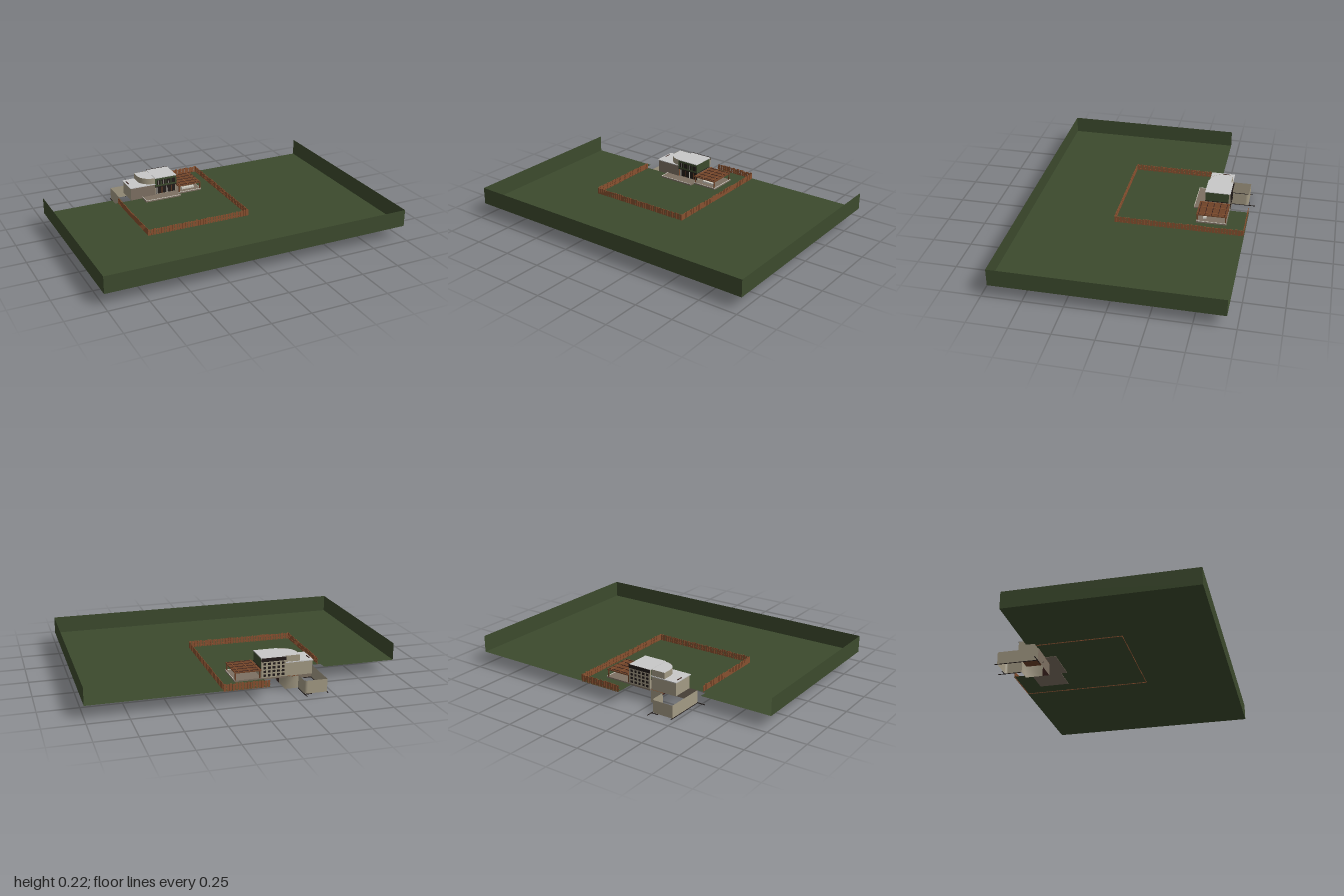
import * as THREE from 'three';

const mat = (name, color, side = THREE.DoubleSide) =>
  Object.assign(new THREE.MeshStandardMaterial({ color, side }), { name });

export function createModel() {
  const root = new THREE.Group();
  const green = mat('grass green', 0x3c4a2d);
  const roofGrey = mat('roof grey', 0xc8c8c8);
  const beige = mat('render beige', 0xa39a84);
  const stone = mat('stone taupe', 0x7d7062);
  const brown = mat('timber brown', 0x6f4328);
  const fenceWood = mat('fence wood', 0x87502f);
  const dark = mat('dark frame', 0x211a18);
  const maroon = mat('dark door', 0x351d1a);
  const pale = mat('pale trim', 0xd0ccc2);

  const add = (name, geometry, material, parent = root) => {
    const mesh = new THREE.Mesh(geometry, material);
    mesh.name = name;
    parent.add(mesh);
    return mesh;
  };
  // Box given by its extents along each axis
  const box = (name, m, x0, x1, y0, y1, z0, z1, parent = root) => {
    const b = add(name, new THREE.BoxGeometry(x1 - x0, y1 - y0, z1 - z0), m, parent);
    b.position.set((x0 + x1) / 2, (y0 + y1) / 2, (z0 + z1) / 2);
    return b;
  };
  const group = (name) => {
    const g = new THREE.Group();
    g.name = name;
    root.add(g);
    return g;
  };
  // Thin upright wall along a plan path of [x, z] points
  const wall = (name, m, pts, y0, y1, parent = root) => {
    const pos = [], index = [];
    pts.forEach(([x, z], i) => {
      pos.push(x, y0, z, x, y1, z);
      if (i) index.push(2 * i - 2, 2 * i, 2 * i - 1, 2 * i, 2 * i + 1, 2 * i - 1);
    });
    const g = new THREE.BufferGeometry();
    g.setAttribute('position', new THREE.Float32BufferAttribute(pos, 3));
    g.setIndex(index);
    g.computeVertexNormals();
    return add(name, g, m, parent);
  };
  const arc = (cx, cz, rx, rz, a0, a1, n = 12) =>
    Array.from({ length: n + 1 }, (_, i) => {
      const a = a0 + ((a1 - a0) * i) / n;
      return [cx + rx * Math.cos(a), cz + rz * Math.sin(a)];
    });

  // Lawn with the notch at the back
  const G = 0.085;
  const plan = [[-1, 0.705], [1, 0.705], [1, -0.69], [-0.1, -0.69], [-0.1, -0.405],
    [-0.53, -0.405], [-0.53, -0.46], [-1, -0.46]];
  const lawn = new THREE.ShapeGeometry(new THREE.Shape(plan.map(([x, z]) => new THREE.Vector2(x, -z))));
  lawn.rotateX(-Math.PI / 2);
  add('lawn', lawn, green).position.y = G;

  // Hedge on three sides
  wall('leftHedge', green, [[1, -0.69], [1, 0.705]], G, 0.195);
  wall('frontHedge', green, [[-1, 0.705], [1, 0.705]], G, 0.195);
  wall('rightHedge', green, [[-1, -0.46], [-1, 0.705]], G, 0.195);

  // Picket fence around the garden
  const fence = group('fence');
  let seed = 7;
  const rand = () => (seed = (seed * 16807) % 2147483647) / 2147483647;
  const run = (x0, z0, x1, z1) => {
    const len = Math.hypot(x1 - x0, z1 - z0), n = Math.round(len / 0.018);
    const side = new THREE.Group();
    side.name = 'fenceRun';
    side.position.set(x0, 0.08, z0);
    side.rotation.y = -Math.atan2(z1 - z0, x1 - x0);
    fence.add(side);
    for (let i = 0; i < n; i++) {
      const x = (i * len) / n;
      box('picket', fenceWood, x, x + 0.0145, 0, 0.042 + rand() * 0.006, -0.0015, 0.0015, side);
    }
    for (const y of [0.015, 0.034]) box('rail', fenceWood, 0, len, y, y + 0.004, -0.003, -0.001, side);
  };
  run(-0.51, -0.4, -0.51, 0.14);
  run(-0.51, 0.14, 0.185, 0.14);
  run(0.185, 0.14, 0.185, -0.685);
  run(0.185, -0.685, -0.1, -0.685);

  // Terrace
  box('frontTerrace', stone, -0.335, -0.085, 0.082, 0.094, -0.41, -0.33);
  box('sideTerrace', stone, -0.085, 0.085, 0.082, 0.094, -0.565, -0.37);
  box('houseFloor', stone, -0.24, -0.085, 0.082, 0.092, -0.565, -0.405);
  const trim = group('terraceTrim');
  box('edge', pale, -0.335, -0.085, 0.094, 0.097, -0.333, -0.33, trim);
  box('edge', pale, -0.335, -0.332, 0.094, 0.097, -0.405, -0.33, trim);
  box('edge', pale, -0.085, 0.085, 0.094, 0.097, -0.373, -0.37, trim);
  box('edge', pale, 0.082, 0.085, 0.094, 0.097, -0.565, -0.37, trim);

  // Main block: beige ground floor, green upper floor, grey roof
  const house = group('mainHouse');
  box('groundFloor', beige, -0.238, -0.087, 0.092, 0.15, -0.56, -0.415, house);
  box('upperFloor', green, -0.24, -0.085, 0.15, 0.212, -0.555, -0.403, house);
  box('roof', roofGrey, -0.24, -0.085, 0.212, 0.216, -0.565, -0.4, house);
  box('backWall', beige, -0.24, -0.085, 0.092, 0.212, -0.565, -0.555, house);
  box('backParapet', dark, -0.24, -0.085, 0.195, 0.2165, -0.571, -0.565, house);
  box('floorBand', dark, -0.241, -0.084, 0.147, 0.152, -0.556, -0.402, house);
  // Front openings
  box('frontGlazing', dark, -0.232, -0.093, 0.096, 0.145, -0.415, -0.412, house);
  for (let i = 0; i < 4; i++) {
    const x = -0.228 + i * 0.036;
    box('upperWindow', dark, x, x + 0.026, 0.165, 0.197, -0.403, -0.401, house);
    box('windowBar', pale, x + 0.012, x + 0.014, 0.165, 0.197, -0.401, -0.4, house);
    box('lowerFrame', i % 2 ? brown : pale, x, x + 0.006, 0.096, 0.145, -0.412, -0.41, house);
  }
  // Back window grid
  for (let i = 0; i < 5; i++)
    for (let j = 0; j < 4; j++) {
      const x = -0.229 + i * 0.029, y = 0.1 + j * 0.024;
      box('backWindow', dark, x, x + 0.016, y, y + 0.014, -0.567, -0.565, house);
    }

  // Low wing and the curved stair wall rising from it
  const wing = group('sideWing');
  wall('wingWalls', beige, [[-0.24, -0.55], [-0.415, -0.55]], G, 0.17, wing);
  wall('wingSide', beige, [[-0.415, -0.55], [-0.415, -0.405]], G, 0.17, wing);
  wall('wingFront', stone, [[-0.415, -0.405], [-0.24, -0.405]], G, 0.17, wing);
  box('wingRoof', roofGrey, -0.42, -0.24, 0.17, 0.175, -0.555, -0.4, wing);
  box('roofHatch', maroon, -0.408, -0.402, 0.175, 0.178, -0.52, -0.475, wing);
  wall('curvedWall', beige,
    [[-0.335, -0.55], ...arc(-0.24, -0.495, 0.095, 0.09, Math.PI, Math.PI / 2)], 0.175, 0.215, wing);
  wall('stairBackWall', beige, [[-0.335, -0.55], [-0.24, -0.55]], 0.175, 0.215, wing);
  const cap = new THREE.Shape([[-0.335, 0.55],
    ...arc(-0.24, -0.495, 0.095, 0.09, Math.PI, Math.PI / 2).map(([x, z]) => [x, -z]),
    [-0.24, 0.55]].map(([x, y]) => new THREE.Vector2(x, y)));
  add('stairRoof', new THREE.ShapeGeometry(cap).rotateX(-Math.PI / 2), roofGrey, wing).position.y = 0.214;

  // Pergola over the side terrace
  const pergola = group('pergola');
  box('pergolaRoof', brown, -0.085, 0.083, 0.138, 0.144, -0.565, -0.37, pergola);
  for (let i = 0; i < 5; i++) {
    const z = -0.553 + i * 0.042;
    box('crossBatten', maroon, -0.08, 0.078, 0.144, 0.146, z, z + 0.004, pergola);
  }
  for (const x of [-0.075, -0.015, 0.055])
    box('longBeam', fenceWood, x, x + 0.005, 0.144, 0.147, -0.565, -0.37, pergola);
  for (const x of [-0.08, 0.074])
    for (const z of [-0.562, -0.38]) box('post', brown, x, x + 0.007, 0.094, 0.138, z, z + 0.007, pergola);
  box('bench', pale, -0.04, 0.05, 0.094, 0.106, -0.43, -0.41, pergola);

  // Sunken yard: open walls with a rounded corner
  const yard = group('sunkenYard');
  wall('retainingWall', stone, [[-0.47, -0.4], [-0.24, -0.4]], 0.003, G, yard);
  wall('outerWall', beige, [[-0.47, -0.4], [-0.47, -0.665]], 0.003, G, yard);
  wall('endWall', beige, [[-0.47, -0.665], [-0.345, -0.665]], 0.003, G, yard);
  wall('roundedWall', beige, [...arc(-0.345, -0.645, 0.02, 0.02, -Math.PI / 2, 0, 8),
    [-0.325, -0.555]], 0.003, G, yard);
  wall('innerWall', beige, [[-0.325, -0.555], [-0.24, -0.555], [-0.24, -0.445]], 0.003, G, yard);
  wall('yardDoor', maroon, [[-0.24, -0.445], [-0.24, -0.4]], 0.003, G, yard);
  for (let i = 0; i < 5; i++)
    box('doorSlat', dark, -0.24, -0.238, 0.012 + i * 0.015, 0.015 + i * 0.015, -0.445, -0.4, yard);
  box('doorHead', brown, -0.325, -0.24, 0.079, 0.083, -0.555, -0.4, yard);
  box('keyhole', dark, -0.378, -0.372, 0.03, 0.036, -0.4, -0.398, yard);

  // Thin ground rails around the yard
  box('rail', dark, -0.472, -0.469, 0, 0.004, -0.68, -0.4, yard);
  box('rail', dark, -0.327, -0.324, 0, 0.004, -0.71, -0.555, yard);
  box('rail', dark, -0.37, -0.325, 0, 0.004, -0.671, -0.668, yard);
  box('rail', dark, -0.525, -0.42, 0.002, 0.006, -0.407, -0.403, yard);

  return root;
}
